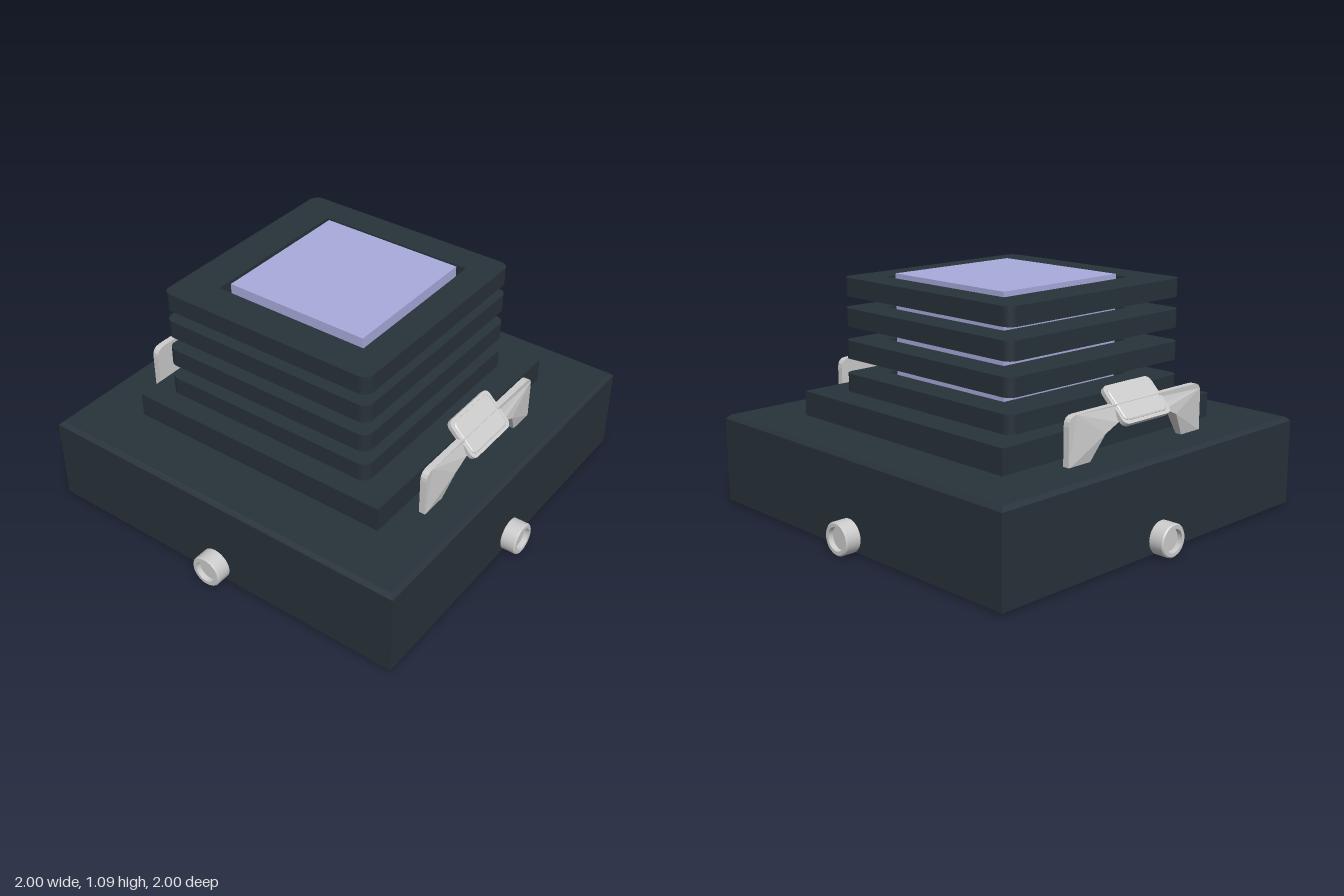
import * as THREE from 'three';

const dark = new THREE.MeshStandardMaterial({ color: 0x28323a });
const darkFlat = new THREE.MeshStandardMaterial({ color: 0x28323a, flatShading: true });
const lilac = new THREE.MeshStandardMaterial({ color: 0xa8aadc });
const grey = new THREE.MeshStandardMaterial({ color: 0xcccccc });
const greyFlat = new THREE.MeshStandardMaterial({ color: 0xcccccc, flatShading: true });

function add(parent, name, geometry, material, x = 0, y = 0, z = 0) {
  const mesh = new THREE.Mesh(geometry, material);
  mesh.name = name;
  mesh.position.set(x, y, z);
  parent.add(mesh);
  return mesh;
}

// Rectangle with rounded corners, centred on the origin
function roundedRect(w, h, r) {
  const s = new THREE.Shape();
  const a = w / 2 - r, b = h / 2 - r;
  s.absarc(a, b, r, 0, Math.PI / 2);
  s.absarc(-a, b, r, Math.PI / 2, Math.PI);
  s.absarc(-a, -b, r, Math.PI, Math.PI * 1.5);
  s.absarc(a, -b, r, Math.PI * 1.5, Math.PI * 2);
  s.closePath();
  return s;
}

// Square cooling plate with a square opening around the core
function finGeometry() {
  const s = roundedRect(1.09, 1.085, 0.045);
  const [x0, x1, y0, y1] = [-0.365, 0.405, -0.375, 0.40];
  s.holes.push(new THREE.Path([
    new THREE.Vector2(x0, y0), new THREE.Vector2(x0, y1),
    new THREE.Vector2(x1, y1), new THREE.Vector2(x1, y0),
  ]));
  const g = new THREE.ExtrudeGeometry(s, { depth: 0.085, bevelEnabled: false, curveSegments: 6 });
  return g.rotateX(-Math.PI / 2);
}

// Arched strap standing on two legs, bulging outward at the arch corners
function strapGeometry() {
  const s = new THREE.Shape();
  s.moveTo(-0.425, 0.42);
  s.lineTo(-0.30, 0.42);
  s.lineTo(-0.23, 0.535);
  s.lineTo(-0.15, 0.57);
  s.lineTo(0.15, 0.57);
  s.lineTo(0.23, 0.535);
  s.lineTo(0.30, 0.42);
  s.lineTo(0.425, 0.42);
  s.lineTo(0.425, 0.595);
  s.quadraticCurveTo(0.425, 0.64, 0.38, 0.64);
  s.lineTo(-0.38, 0.64);
  s.quadraticCurveTo(-0.425, 0.64, -0.425, 0.595);
  s.closePath();
  const g = new THREE.ExtrudeGeometry(s, { depth: 0.03, bevelEnabled: false, curveSegments: 4 });
  const p = g.attributes.position;
  for (let i = 0; i < p.count; i++) {
    const y = p.getY(i);
    if (p.getZ(i) > 0.02 && y > 0.5 && y < 0.58) p.setZ(i, 0.053);
  }
  return g.rotateY(Math.PI / 2);
}

// Clip: strap plus a tilted pad with a raised centre panel
function createClip(name) {
  const clip = new THREE.Group();
  clip.name = name;
  add(clip, 'clipStrap', strapGeometry(), greyFlat, 0.732);
  const pad = new THREE.Group();
  pad.name = 'clipPad';
  const plate = new THREE.ExtrudeGeometry(roundedRect(0.305, 0.195, 0.03), {
    depth: 0.02, bevelEnabled: false, curveSegments: 5,
  });
  const panel = new THREE.ExtrudeGeometry(roundedRect(0.262, 0.152, 0.02), {
    depth: 0.004, bevelThickness: 0.004, bevelSize: 0.006, bevelSegments: 1, curveSegments: 5,
  });
  add(pad, 'padPlate', plate.translate(0, 0, -0.012), greyFlat);
  add(pad, 'padPanel', panel.translate(0, 0, 0.006), greyFlat);
  pad.position.set(0.75, 0.63, 0);
  pad.rotation.set(0, Math.PI / 2, 0);
  pad.rotateX(-Math.PI / 4);
  clip.add(pad);
  return clip;
}

export function createModel() {
  const model = new THREE.Group();
  model.name = 'finnedBlock';

  // Base block with chamfered top edges
  const r = 0.928 * Math.SQRT2;
  const profile = [[0, 0.01], [r, 0.01], [r, 0.407], [r - 0.025, 0.425], [0, 0.425]]
    .map(([x, y]) => new THREE.Vector2(x, y));
  add(model, 'base', new THREE.LatheGeometry(profile, 4, Math.PI / 4), darkFlat);

  // Step and glowing core
  add(model, 'step', new THREE.BoxGeometry(1.315, 0.12, 1.315), dark, 0.005, 0.48, -0.003);
  add(model, 'core', new THREE.BoxGeometry(0.705, 0.56, 0.705), lilac, 0.007, 0.81, -0.003);

  // Stack of fins
  const fin = finGeometry();
  [0.545, 0.70, 0.85, 0.99].forEach((y, i) => add(model, 'fin' + (i + 1), fin, dark, -0.015, y, 0.012));

  // Hollow-ended lugs, one in the middle of each side
  const lugProfile = [[0, 0.83], [0.075, 0.83], [0.075, 0.83], [0.075, 0.994], [0.075, 0.994],
    [0.069, 1], [0.069, 1], [0.053, 1], [0.053, 1], [0.053, 0.975], [0.053, 0.975], [0, 0.975]]
    .map(([x, y]) => new THREE.Vector2(x, y));
  const lug = new THREE.LatheGeometry(lugProfile, 28).rotateX(Math.PI / 2);
  ['frontLug', 'leftLug', 'backLug', 'rightLug'].forEach((name, i) => {
    add(model, name, lug, grey, 0, 0.075, 0).rotation.y = i * Math.PI / 2;
  });

  // Clips on both sides
  ['leftClip', 'rightClip'].forEach((name, i) => {
    const clip = createClip(name);
    clip.position.z = 0.03;
    clip.rotation.y = i * Math.PI;
    model.add(clip);
  });

  return model;
}
